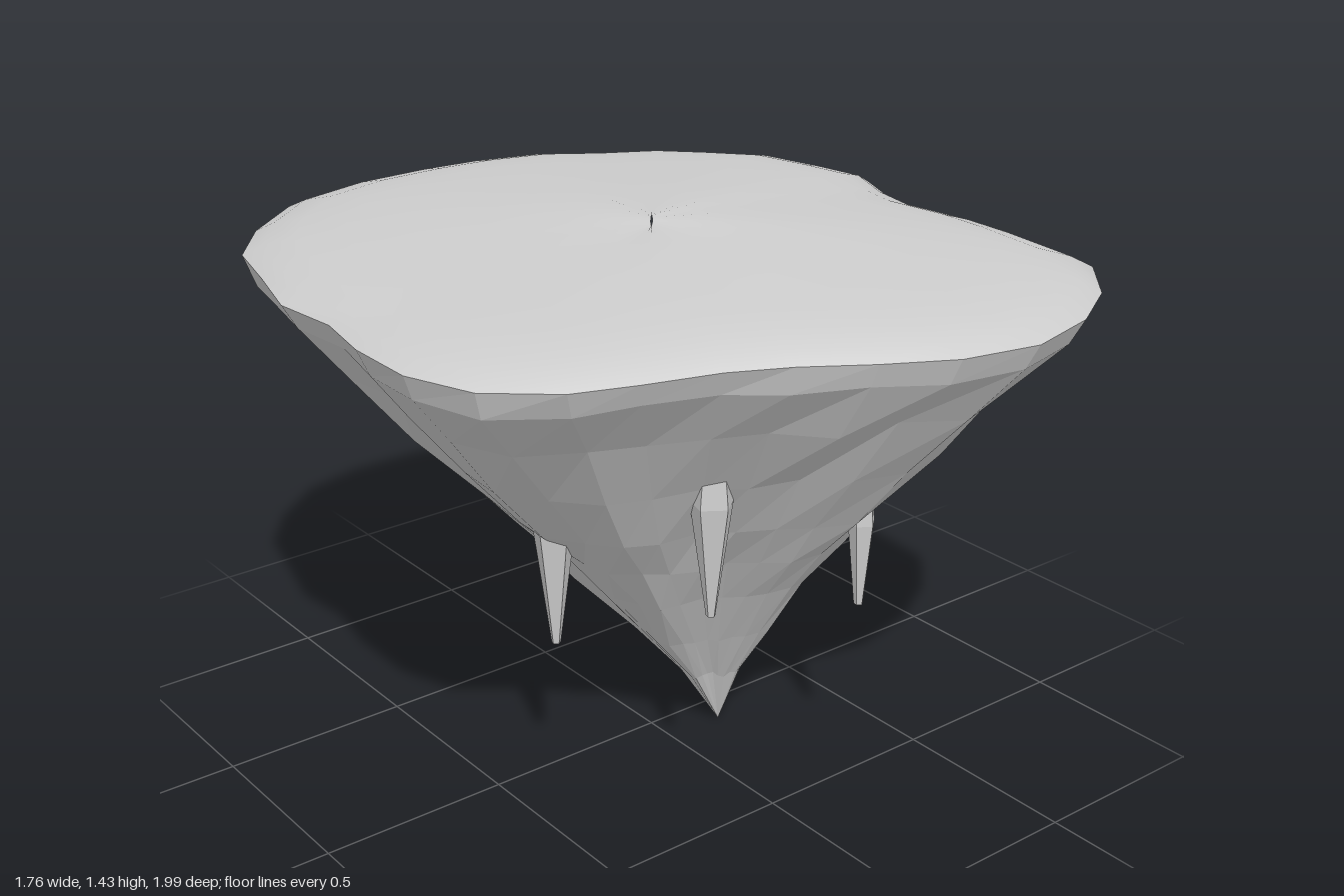
import * as THREE from 'three';

// Plan outline of the rim as [x, z], clockwise from above, starting at the back
const OUTLINE = [
  [-0.06, -1], [0.11, -0.98], [0.29, -0.925], [0.435, -0.82], [0.59, -0.73], [0.695, -0.62],
  [0.81, -0.485], [0.855, -0.305], [0.88, -0.16], [0.815, -0.005], [0.79, 0.13], [0.82, 0.33],
  [0.82, 0.475], [0.8, 0.71], [0.67, 0.85], [0.505, 0.945], [0.305, 0.99], [0.11, 0.945],
  [-0.05, 0.855], [-0.2, 0.755], [-0.34, 0.685], [-0.52, 0.63], [-0.67, 0.575], [-0.815, 0.45],
  [-0.88, 0.275], [-0.88, 0.08], [-0.85, -0.09], [-0.87, -0.275], [-0.815, -0.475],
  [-0.77, -0.66], [-0.65, -0.815], [-0.48, -0.95], [-0.27, -1],
];
const TIP = [0.16, 0.09];

function seeded(seed) {
  return () => {
    seed = (seed * 16807) % 2147483647;
    return seed / 2147483647;
  };
}

const rimHeight = (x, z) => 1.315 + 0.012 * x - 0.008 * z;

// Skins a list of closed rings, ordered from the top down
function skin(rings) {
  const n = OUTLINE.length;
  const index = [];
  for (let r = 0; r < rings.length - 1; r++) {
    for (let i = 0; i < n; i++) {
      const j = (i + 1) % n;
      const a = r * n + i, b = r * n + j, c = a + n, d = b + n;
      index.push(a, b, d, a, d, c);
    }
  }
  const geometry = new THREE.BufferGeometry();
  geometry.setAttribute('position', new THREE.Float32BufferAttribute(rings.flat(2), 3));
  geometry.setIndex(index);
  return geometry;
}

function faceted(geometry) {
  const flat = geometry.toNonIndexed();
  flat.computeVertexNormals();
  return flat;
}

// Smooth, gently domed top surface: [share of outline, rise above the rim]
function topGeometry() {
  const levels = [[0.002, 0.092], [0.2, 0.09], [0.4, 0.082], [0.6, 0.07], [0.75, 0.06],
    [0.87, 0.045], [0.95, 0.025], [1, 0]];
  const rings = levels.map(([s, rise]) => OUTLINE.map(([x, z]) => {
    const wave = 0.008 * Math.sin(3 * x * s + 1) * Math.cos(3 * z * s) * (1 - s);
    return [x * s, rimHeight(x, z) + rise + wave, z * s];
  }));
  const geometry = skin(rings);
  geometry.computeVertexNormals();
  return geometry;
}

// Faceted rock below, narrowing to an off-centre tip: [height, share of outline]
function rockGeometry() {
  const random = seeded(17);
  const levels = [[1.24, 0.97], [1.1, 0.84], [0.92, 0.69], [0.75, 0.54], [0.62, 0.425],
    [0.49, 0.32], [0.32, 0.19], [0.17, 0.085], [0, 0]];
  const rings = [OUTLINE.map(([x, z]) => [x, rimHeight(x, z), z])];
  for (const [y, s] of levels) {
    const drift = 0.14 * s * (1 - s);
    rings.push(OUTLINE.map(([x, z]) => {
      const k = s * (1 + (random() - 0.5) * (s > 0.9 ? 0.015 : 0.06));
      const lift = s > 0 ? (random() - 0.5) * 0.02 : 0;
      return [
        TIP[0] + (x - TIP[0]) * k - drift,
        y + lift,
        TIP[1] + (z - TIP[1]) * k - drift,
      ];
    }));
  }
  return faceted(skin(rings));
}

// Five-sided hanging spike with a blunt end
function spikeGeometry(radius, height) {
  const profile = [[0, -height], [0.012, -height], [radius, -0.2 * height],
    [radius * 0.85, 0], [0, 0]].map(([r, y]) => new THREE.Vector2(r, y));
  return faceted(new THREE.LatheGeometry(profile, 5));
}

export function createModel() {
  const model = new THREE.Group();
  model.name = 'floatingIsland';
  const stone = new THREE.MeshStandardMaterial({ color: 0xcccccc });
  stone.name = 'stone grey';

  const add = (name, geometry) => {
    const mesh = new THREE.Mesh(geometry, stone);
    mesh.name = name;
    model.add(mesh);
    return mesh;
  };

  add('islandTop', topGeometry());
  add('rockBody', rockGeometry());

  // Spikes: x, z, top height, tip height, radius
  const spikes = [
    [-0.4, 0.13, 0.83, 0.44, 0.055],
    [-0.18, 0.46, 0.95, 0.58, 0.055],
    [0.25, 0.52, 0.78, 0.5, 0.035],
    [0.53, 0.18, 0.91, 0.56, 0.055],
    [0.41, -0.51, 0.93, 0.63, 0.036],
    [0.17, -0.41, 0.79, 0.38, 0.048],
  ];
  spikes.forEach(([x, z, top, tip, radius], i) => {
    const spike = add(`hangingSpike${i + 1}`, spikeGeometry(radius, top - tip));
    spike.position.set(x, top, z);
    spike.rotation.y = i * 1.3;
  });
  return model;
}
